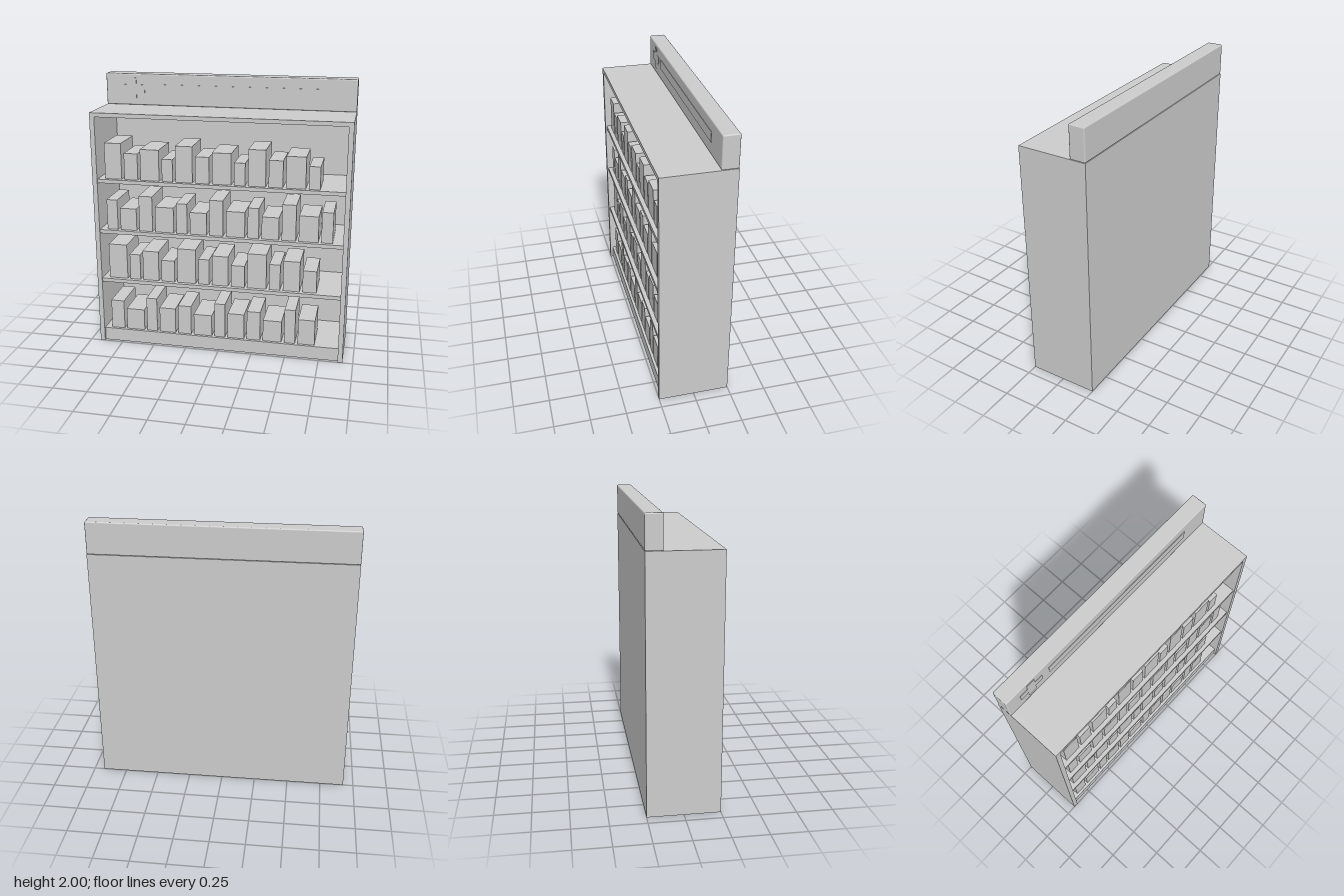
import * as THREE from 'three';
import { RoundedBoxGeometry } from 'three/addons/geometries/RoundedBoxGeometry.js';

const material = new THREE.MeshStandardMaterial({ color: 0xcccccc });

// Box given by its min and max on each axis
function box(parent, name, [x0, x1], [y0, y1], [z0, z1]) {
  const mesh = new THREE.Mesh(new THREE.BoxGeometry(x1 - x0, y1 - y0, z1 - z0), material);
  mesh.position.set((x0 + x1) / 2, (y0 + y1) / 2, (z0 + z1) / 2);
  mesh.name = name;
  parent.add(mesh);
  return mesh;
}

function group(parent, name) {
  const g = new THREE.Group();
  g.name = name;
  parent.add(g);
  return g;
}

// Each row repeats a pattern of four cartons: [width, height]
const ROWS = [
  { y: 0.10, count: 12, cartons: [[0.1, 0.225], [0.138, 0.165], [0.08, 0.265], [0.123, 0.195]] },
  { y: 0.515, count: 12, cartons: [[0.14, 0.265], [0.08, 0.195], [0.121, 0.228], [0.1, 0.165]] },
  { y: 0.90, count: 13, cartons: [[0.08, 0.225], [0.123, 0.165], [0.1, 0.265], [0.138, 0.19]] },
  { y: 1.285, count: 12, cartons: [[0.124, 0.263], [0.1, 0.193], [0.138, 0.227], [0.079, 0.163]] },
];

export function createModel() {
  const model = new THREE.Group();
  model.name = 'displayShelf';

  // Carcass: sides, top, back and recessed plinth
  const cabinet = group(model, 'cabinet');
  const W = 0.925, IN = 0.89, H = 1.77, D = 0.25;
  box(cabinet, 'rightSide', [-W, -IN], [0, H], [-D, D]);
  box(cabinet, 'leftSide', [IN, W], [0, H], [-D, D]);
  box(cabinet, 'topPanel', [-IN, IN], [1.74, H], [-D, D]);
  box(cabinet, 'backPanel', [-IN, IN], [0, 1.74], [-D, -D + 0.025]);
  box(cabinet, 'plinth', [-IN, IN], [0, 0.1], [-D + 0.025, D - 0.02]);

  // Shelves above the plinth, and the cartons standing on every level
  ROWS.forEach(({ y, count, cartons }, level) => {
    if (level > 0) box(cabinet, 'shelf', [-IN, IN], [y - 0.028, y], [-D + 0.025, D - 0.01]);
    const row = group(model, 'cartonRow');
    let x = -0.84;
    for (let i = 0; i < count; i++) {
      const [w, h] = cartons[i % 4];
      box(row, 'carton', [x, x + w], [y, y + h], [-0.07, 0.21]);
      x += w + 0.021;
    }
  });

  // Header sign with softened edges, set flush with the back
  const header = group(model, 'header');
  const board = new THREE.Mesh(new RoundedBoxGeometry(1.85, 0.23, 0.115, 2, 0.009), material);
  board.name = 'headerBoard';
  board.position.set(0, 1.885, -0.1925);
  header.add(board);

  // Thin raised plates on the sign face
  const face = [-0.14, -0.132];
  box(header, 'titlePlate', [-0.57, 0.71], [1.855, 1.925], face);
  box(header, 'plusPlateUpright', [-0.757, -0.693], [1.81, 1.97], face);
  box(header, 'plusPlateArm', [-0.82, -0.757], [1.86, 1.92], face);
  box(header, 'plusPlateArm', [-0.693, -0.63], [1.86, 1.92], face);

  return model;
}
